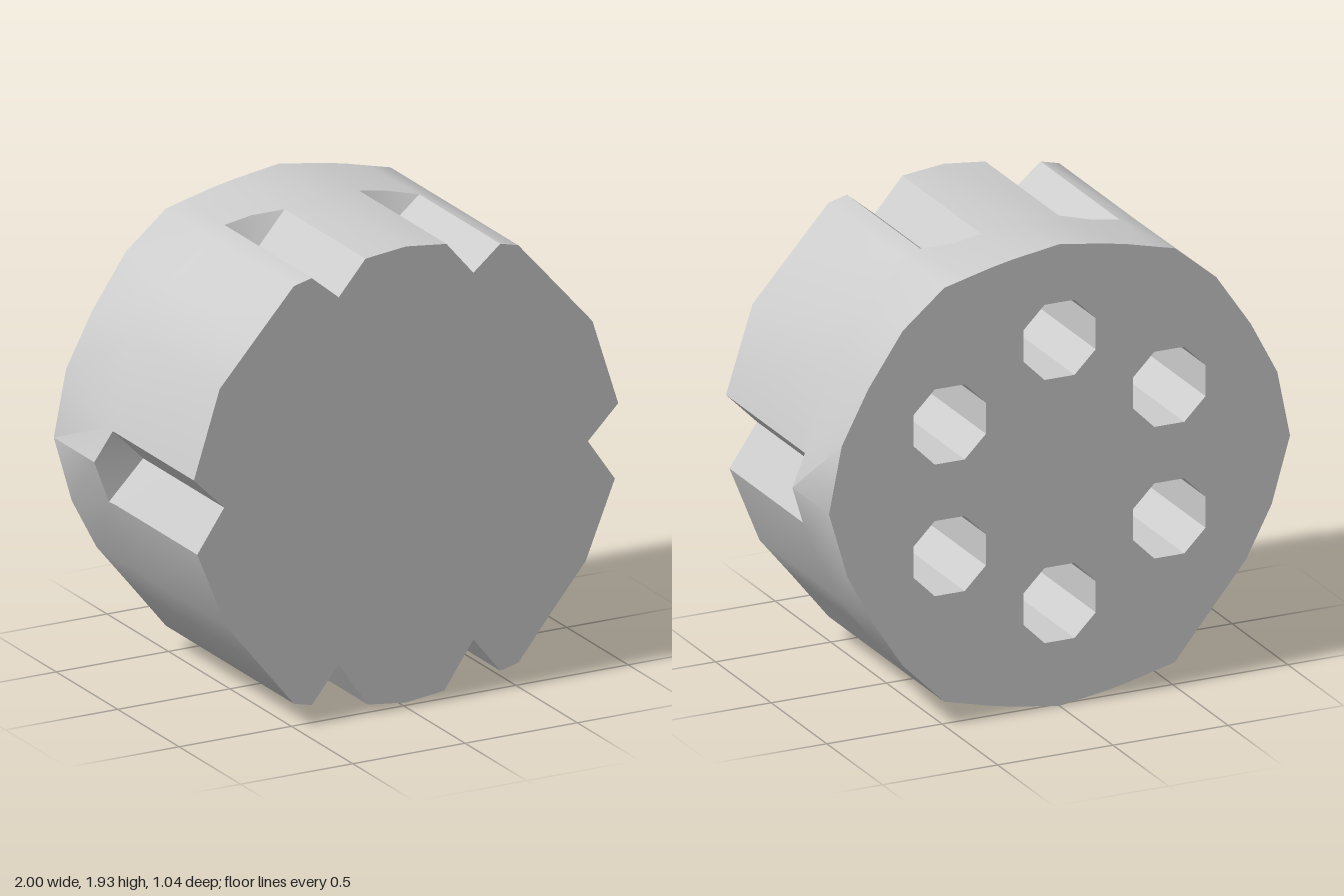
import * as THREE from 'three';
import { toCreasedNormals } from 'three/addons/utils/BufferGeometryUtils.js';

const FRONT = 0.52, BACK = -0.52;
const CENTRE_Y = 0.98, RING = 0.55, BORE = 0.17, DEPTH = 0.9;

// Half outlines from bottom centre, up the +x side, to top centre.
const fluted = [
  [0, .02], [.17, .04], [.3, .23], [.42, .08], [.5, .1], [.66, .3], [.8, .47], [.93, .79], [.81, .965],
  [.945, 1.1], [.83, 1.46], [.67, 1.64], [.5, 1.83], [.42, 1.85], [.3, 1.75], [.18, 1.89], [0, 1.91]];
const plain = [
  [0, .02], [.17, .04], [.3, .06], [.42, .08], [.5, .1], [.67, .29], [.81, .48], [.935, .79], [1, .965],
  [.945, 1.1], [.83, 1.46], [.68, 1.66], [.5, 1.83], [.42, 1.85], [.3, 1.87], [.18, 1.89], [0, 1.91]];
const rear = [
  [0, 0], [.2, .03], [.3, .05], [.4, .075], [.5, .1], [.68, .28], [.81, .48], [.92, .69], [1, .965],
  [.945, 1.24], [.83, 1.46], [.68, 1.68], [.5, 1.83], [.4, 1.855], [.3, 1.88], [.2, 1.9], [0, 1.93]];

// Mirrors a half outline; the lower -x side has one flat facet.
function fullOutline(half) {
  const mirrored = half.slice(1, -1).reverse().map(([x, y]) =>
    x > .6 && x < .7 && y < .5 ? [-.65, .285] : [-x, y]);
  return [...half, ...mirrored];
}

// Skin joining successive cross-sections from front to back.
function loft(sections) {
  const n = sections[0].points.length;
  const positions = [], index = [];
  for (const { points, z } of sections) for (const [x, y] of points) positions.push(x, y, z);
  for (let s = 0; s < sections.length - 1; s++) {
    for (let i = 0; i < n; i++) {
      const j = (i + 1) % n;
      const a = s * n + i, b = s * n + j, c = b + n, d = a + n;
      index.push(a, d, c, a, c, b);
    }
  }
  const g = new THREE.BufferGeometry();
  g.setAttribute('position', new THREE.Float32BufferAttribute(positions, 3));
  g.setIndex(index);
  return toCreasedNormals(g, 0.65);
}

const toShape = (points, sx = 1) => new THREE.Shape(points.map(([x, y]) => new THREE.Vector2(sx * x, y)));

export function createModel() {
  const group = new THREE.Group();
  group.name = 'flutedDrum';
  const material = new THREE.MeshStandardMaterial({ color: 0xcccccc });
  const inside = new THREE.MeshStandardMaterial({ color: 0xcccccc, side: THREE.DoubleSide, flatShading: true });
  const add = (name, geometry, mat = material) => {
    const mesh = new THREE.Mesh(geometry, mat);
    mesh.name = name;
    group.add(mesh);
    return mesh;
  };

  const frontOutline = fullOutline(fluted);
  const rearOutline = fullOutline(rear);

  // Body: flutes run from the front and end in short sloped faces
  add('drumBody', loft([
    { points: frontOutline, z: FRONT },
    { points: frontOutline, z: -0.14 },
    { points: fullOutline(plain), z: -0.19 },
    { points: rearOutline, z: BACK },
  ]));

  // Closed front face
  add('frontFace', new THREE.ShapeGeometry(toShape(frontOutline)).translate(0, 0, FRONT));

  // Rear face pierced by a ring of six octagonal chambers
  const rearShape = toShape(rearOutline, -1);
  for (let i = 0; i < 6; i++) {
    const a = Math.PI / 2 + i * Math.PI / 3;
    const cx = RING * Math.cos(a), cy = CENTRE_Y + RING * Math.sin(a);

    const corners = Array.from({ length: 8 }, (_, k) => {
      const t = (k + 0.5) * Math.PI / 4;
      return new THREE.Vector2(cx + BORE * Math.cos(t), cy + BORE * Math.sin(t));
    });
    rearShape.holes.push(new THREE.Path(corners.reverse()));

    const wall = new THREE.CylinderGeometry(BORE, BORE, DEPTH, 8, 1, true, Math.PI / 8);
    add('chamberWall', wall.rotateX(Math.PI / 2), inside).position.set(cx, cy, BACK + DEPTH / 2);
    add('chamberEnd', new THREE.CircleGeometry(BORE, 8, Math.PI / 8), inside).position.set(cx, cy, BACK + DEPTH);
  }
  add('rearFace', new THREE.ShapeGeometry(rearShape).rotateY(Math.PI).translate(0, 0, BACK));

  return group;
}
